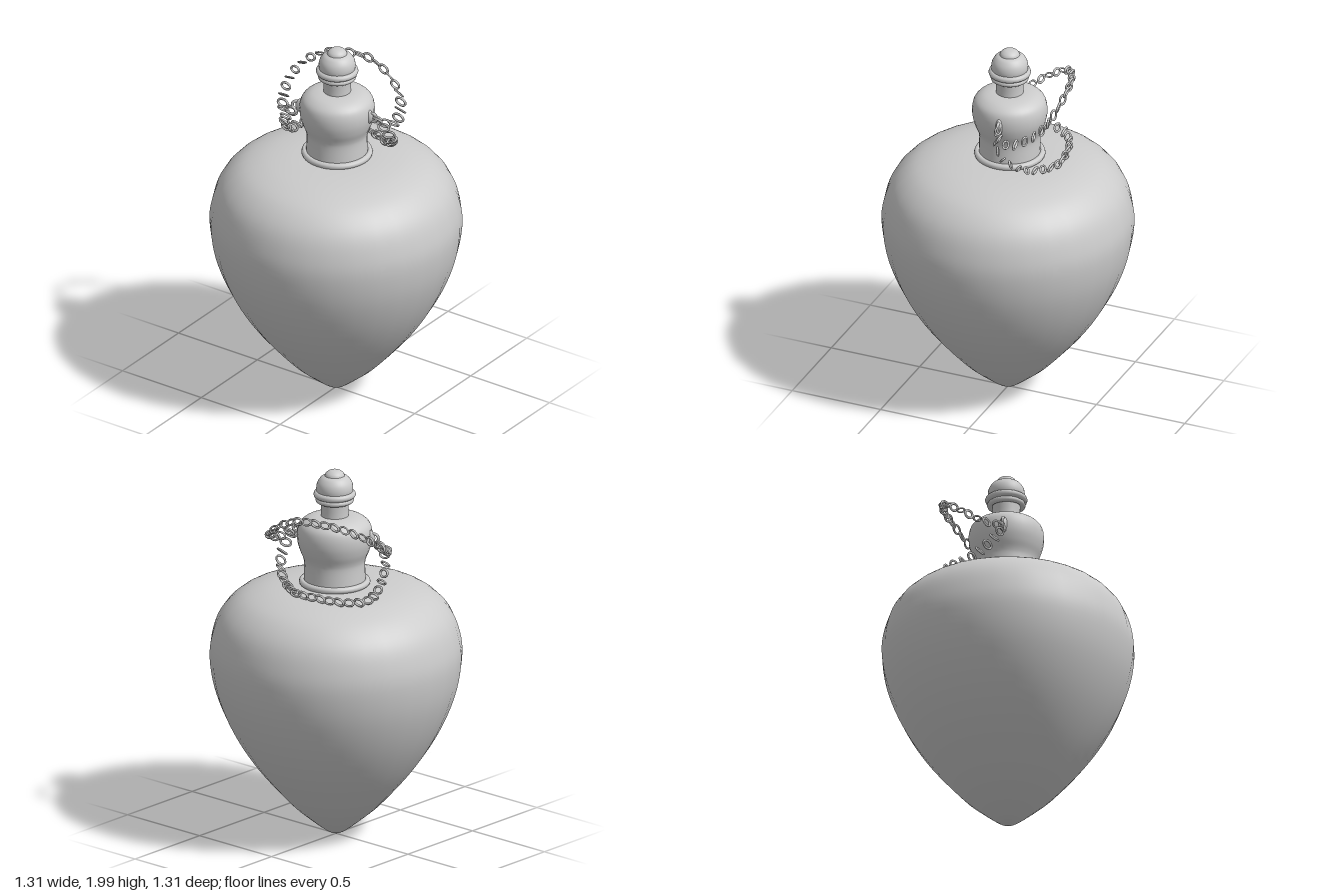
import * as THREE from 'three';

const material = new THREE.MeshStandardMaterial({ color: 0xcccccc, side: THREE.DoubleSide });
const vec = (p) => new THREE.Vector3(...p);

function addMesh(parent, name, geometry) {
  const mesh = new THREE.Mesh(geometry, material);
  mesh.name = name;
  parent.add(mesh);
  return mesh;
}

// Smooth turned part through a few [radius, height] points, bottom to top
function turned(parent, name, points, samples, segments = 32) {
  const curve = new THREE.SplineCurve(points.map(([r, y]) => new THREE.Vector2(r, y)));
  const profile = curve.getPoints(samples);
  profile.forEach((p) => { p.x = Math.max(p.x, 0); });
  return addMesh(parent, name, new THREE.LatheGeometry(profile, segments));
}

function ring(parent, name, radius, tube, y) {
  const mesh = addMesh(parent, name, new THREE.TorusGeometry(radius, tube, 10, 40));
  mesh.rotation.x = Math.PI / 2;
  mesh.position.y = y;
  return mesh;
}

// Oval link lying along x in the xy plane
function linkGeometry(halfLength, halfWidth, wire) {
  const points = [];
  for (let i = 0; i < 16; i++) {
    const a = (i / 16) * Math.PI * 2;
    points.push(new THREE.Vector3(Math.cos(a) * halfLength, Math.sin(a) * halfWidth, 0));
  }
  return new THREE.TubeGeometry(new THREE.CatmullRomCurve3(points, true), 24, wire, 6, true);
}

// Chain of links along a path, each one turned against its neighbour
function addChain(parent, name, path) {
  const chain = new THREE.Group();
  chain.name = name;
  const curve = new THREE.CatmullRomCurve3(path.map(vec));
  const count = Math.round(curve.getLength() / 0.052);
  const geometry = linkGeometry(0.031, 0.02, 0.0065);
  for (let i = 0; i < count; i++) {
    const u = (i + 0.5) / count;
    const along = curve.getTangentAt(u);
    const side = new THREE.Vector3(0, 1, 0).cross(along).normalize();
    const up = along.clone().cross(side);
    const link = addMesh(chain, 'chainLink', geometry);
    link.quaternion.setFromRotationMatrix(new THREE.Matrix4().makeBasis(along, up, side));
    link.rotateX(i % 2 ? 1.1 : -0.45);
    link.position.copy(curve.getPointAt(u));
  }
  parent.add(chain);
}

// Eyelet on the shoulder of the neck: a flared root and an upright ring
function addLug(parent, name, x, z) {
  const lug = new THREE.Group();
  lug.name = name;
  const root = addMesh(lug, 'lugRoot', new THREE.SphereGeometry(1, 16, 10));
  root.scale.set(0.035, 0.042, 0.02);
  root.position.x = 0.18;
  const eye = addMesh(lug, 'lugEye', new THREE.TorusGeometry(0.024, 0.008, 8, 20));
  eye.position.x = 0.208;
  lug.position.y = 1.645;
  lug.rotation.y = Math.atan2(-z, x);
  parent.add(lug);
}

export function createModel() {
  const model = new THREE.Group();
  model.name = 'pendantBottle';

  // Pointed, heart-like body
  turned(model, 'body', [
    [0, 0.008], [0.05, 0.03], [0.14, 0.1], [0.25, 0.2], [0.42, 0.4], [0.545, 0.6],
    [0.625, 0.8], [0.655, 0.98], [0.64, 1.11], [0.595, 1.22], [0.51, 1.305],
    [0.4, 1.352], [0.27, 1.374], [0.13, 1.38], [0, 1.38],
  ], 64);

  // Everything above the shoulder sits very slightly back
  const top = new THREE.Group();
  top.name = 'neckAndStopper';
  top.position.z = -0.01;
  model.add(top);

  // Neck with its foot ring and rounded shoulder
  ring(top, 'footRing', 0.168, 0.017, 1.393);
  turned(top, 'neckStem', [[0.163, 1.37], [0.16, 1.42], [0.158, 1.49], [0.164, 1.525],
    [0.182, 1.57], [0.194, 1.62], [0.194, 1.67], [0.18, 1.71], [0.145, 1.738],
    [0.1, 1.75], [0.05, 1.752]], 44);

  // Stopper: stem, two rings, dome and knob
  turned(top, 'stopperStem', [[0.072, 1.74], [0.071, 1.78], [0.073, 1.83]], 6);
  ring(top, 'lowerStopperRing', 0.085, 0.015, 1.838);
  ring(top, 'upperStopperRing', 0.092, 0.018, 1.868);
  turned(top, 'stopperDome', [[0.09, 1.865], [0.096, 1.9], [0.09, 1.932], [0.072, 1.958],
    [0.052, 1.969]], 18);
  turned(top, 'stopperKnob', [[0.053, 1.965], [0.046, 1.982], [0.026, 1.996], [0, 2]], 12);

  // Eyelets
  addLug(model, 'rightLug', -0.2, 0.085);
  addLug(model, 'leftLug', 0.2, -0.035);

  // Chain arching up behind the stopper
  addChain(model, 'upperChain', [
    [-0.2, 1.62, 0.085], [-0.26, 1.6, 0.095], [-0.315, 1.615, 0.03], [-0.35, 1.68, -0.07],
    [-0.33, 1.745, -0.17], [-0.25, 1.79, -0.245], [-0.14, 1.805, -0.295], [-0.02, 1.8, -0.32],
    [0.1, 1.75, -0.315], [0.2, 1.68, -0.28], [0.26, 1.63, -0.21], [0.285, 1.6, -0.12],
    [0.26, 1.62, -0.06], [0.205, 1.655, -0.04],
  ]);

  // Chain drooping onto the body
  addChain(model, 'lowerChain', [
    [-0.2, 1.625, 0.085], [-0.255, 1.56, 0.095], [-0.295, 1.48, 0.04], [-0.325, 1.41, -0.05],
    [-0.335, 1.39, -0.15], [-0.25, 1.388, -0.235], [-0.12, 1.392, -0.28], [0.02, 1.392, -0.29],
    [0.1, 1.398, -0.255], [0.19, 1.42, -0.2], [0.25, 1.46, -0.15], [0.29, 1.525, -0.085],
    [0.265, 1.6, -0.05], [0.205, 1.645, -0.04],
  ]);

  return model;
}
